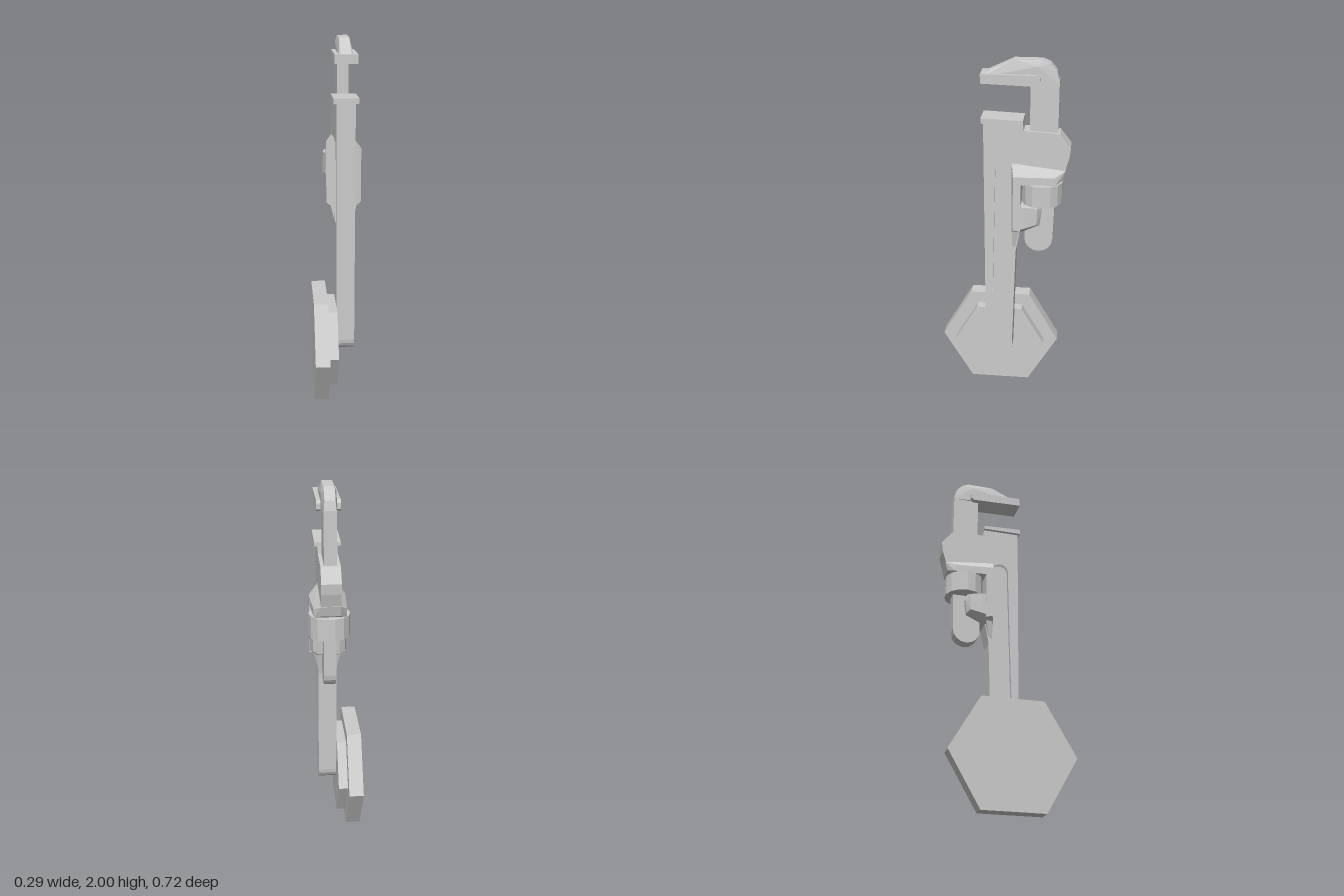
import * as THREE from 'three';
import { ConvexGeometry } from 'three/addons/geometries/ConvexGeometry.js';

const CX = 0.036; // centre plane of the wrench
const mat = new THREE.MeshStandardMaterial({ color: 0xcccccc, flatShading: true });

// Profiles are given as [z, y] and extruded along x.
const path = (pts) => pts.map(([z, y]) => new THREE.Vector2(-z, y));

function slab(pts, x0, x1, holes = []) {
  const shape = new THREE.Shape(path(pts));
  holes.forEach((h) => shape.holes.push(new THREE.Path(path(h))));
  return new THREE.ExtrudeGeometry(shape, { depth: x1 - x0, bevelEnabled: false })
    .rotateY(Math.PI / 2).translate(x0, 0, 0);
}

// Convex solid mirrored about the centre plane from layers of [half width, profile].
function mirroredHull(...layers) {
  const pts = [];
  for (const [w, profile] of layers)
    for (const [z, y] of profile)
      for (const s of [-1, 1]) pts.push(new THREE.Vector3(CX + s * w, y, z));
  return new ConvexGeometry(pts);
}

function arc(z, y, r, from, to, n) {
  return Array.from({ length: n + 1 }, (_, i) => {
    const a = from + ((to - from) * i) / n;
    return [z + r * Math.cos(a), y + r * Math.sin(a)];
  });
}

// Leaning stadium outline of the handle recess.
const recess = (r) => [
  ...arc(0.013, 0.315, r, Math.PI, 2 * Math.PI, 10),
  ...arc(-0.012, 1.462 - 0.046, r, 0, Math.PI, 10),
];

export function createModel() {
  const group = new THREE.Group();
  const add = (name, geometry) => {
    const mesh = new THREE.Mesh(geometry, mat);
    mesh.name = name;
    group.add(mesh);
    return mesh;
  };

  // Stepped hexagonal base
  const hex = (r) => arc(0.024, 0.297, r, 0, (5 * Math.PI) / 3, 5);
  add('basePlate', slab(hex(0.34), -0.147, -0.067));
  add('baseStep', slab(hex(0.26), -0.067, -0.015));

  // Handle and head in one outline, with the long recess cut through
  const body = [
    ...arc(0.015, 0.32, 0.075, Math.PI, 2 * Math.PI, 10),
    [0.094, 1.68], [-0.11, 1.68], [-0.115, 1.64], [-0.3, 1.628],
    [-0.358, 1.555], [-0.352, 1.5], [-0.315, 1.375], [-0.285, 1.36], [-0.1, 1.365],
    [-0.1, 1.07], [-0.078, 0.95],
  ];
  add('handleAndHead', slab(body, CX - 0.051, CX + 0.05, [recess(0.045)]));
  const eye = arc(0.013, 0.315, 0.038, 0, 2 * Math.PI * (15 / 16), 15);
  add('handleWeb', slab(recess(0.046), CX - 0.026, CX + 0.026, [eye]));

  // Fixed lower jaw pad
  add('lowerJaw', slab([[0.105, 1.677], [0.105, 1.706], [-0.112, 1.697], [-0.112, 1.677]],
    CX - 0.068, CX + 0.068));

  // Flared cage holding the adjusting nut
  add('cageUpperArm', mirroredHull(
    [0.05, [[-0.055, 1.462], [-0.3, 1.432], [-0.335, 1.43], [-0.32, 1.375], [-0.285, 1.357], [-0.06, 1.357]]],
    [0.096, [[-0.065, 1.405], [-0.11, 1.403], [-0.1, 1.358], [-0.065, 1.358]]],
    [0.084, [[-0.28, 1.4], [-0.285, 1.36]]]));
  add('cageSpine', mirroredHull(
    [0.05, [[-0.054, 1.45], [-0.054, 1.07]]],
    [0.097, [[-0.065, 1.4], [-0.105, 1.4], [-0.065, 1.1], [-0.105, 1.09]]]));
  add('cageLowerArm', mirroredHull(
    [0.055, [[-0.06, 1.235], [-0.205, 1.232], [-0.216, 1.2], [-0.206, 1.118], [-0.1, 1.068], [-0.06, 1.068]]],
    [0.096, [[-0.065, 1.232], [-0.125, 1.232], [-0.125, 1.11], [-0.065, 1.095]]],
    [0.085, [[-0.195, 1.225], [-0.19, 1.13]]]));

  // Web running from the cage down into the handle
  add('cageFillet', mirroredHull(
    [0.05, [[-0.058, 0.98], [-0.076, 0.98]]],
    [0.075, [[-0.062, 1.09], [-0.1, 1.09]]]));

  // Adjusting nut
  add('adjustingNut', new THREE.CylinderGeometry(0.108, 0.108, 0.118, 14)
    .rotateY(Math.PI / 2).translate(CX, 1.296, -0.214));

  // Sliding jaw: shank, hooked top and gripping plate
  add('jawShank', slab([
    ...arc(-0.2, 1.026, 0.076, 0, -Math.PI, 8),
    [-0.29, 1.5], [-0.29, 1.9], [-0.145, 1.9], [-0.145, 1.5],
  ], CX - 0.032, CX + 0.032));
  add('jawHook', mirroredHull(
    [0.027, [[-0.06, 2], [-0.205, 2], [-0.245, 1.982], [-0.276, 1.945], [-0.29, 1.89], [0.1, 1.925]]],
    [0.04, [[0.1, 1.91], [-0.14, 1.92], [-0.18, 1.97], [-0.19, 1.88]]],
    [0.032, [[-0.29, 1.88]]]));
  add('upperJaw', slab([
    [0.106, 1.882], [0.106, 1.93], [-0.175, 1.928], [-0.193, 1.915],
    [-0.193, 1.885], [-0.175, 1.873],
  ], CX - 0.061, CX + 0.061));

  return group;
}
